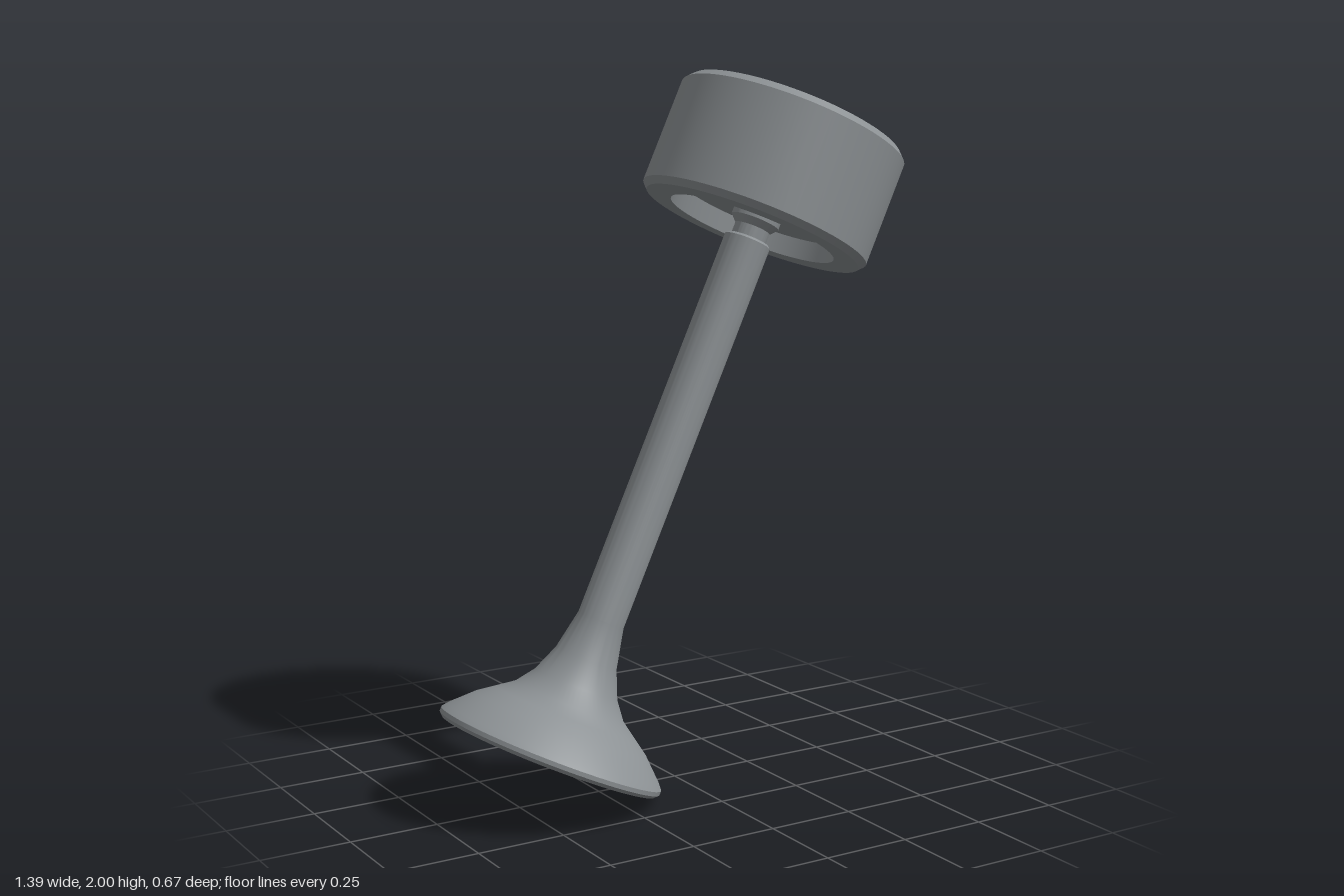
import * as THREE from 'three';
import { toCreasedNormals } from 'three/addons/utils/BufferGeometryUtils.js';

export function createModel() {
  const steel = new THREE.MeshStandardMaterial({ color: 0x8c9194 });
  steel.name = 'steel grey';

  // Turned part from [radius, height] pairs, bottom axis to top axis
  const turned = (name, profile) => {
    const points = profile.map(([r, h]) => new THREE.Vector2(r, h));
    const geometry = toCreasedNormals(new THREE.LatheGeometry(points, 64), 0.55);
    const mesh = new THREE.Mesh(geometry, steel);
    mesh.name = name;
    return mesh;
  };

  // Poppet valve: dished head, flared neck, long stem and keeper groove
  const valve = turned('valve', [
    [0, 0.02], [0.285, 0.02], [0.295, 0], [0.315, 0],
    [0.325, 0.01], [0.325, 0.022], [0.312, 0.038],
    [0.252, 0.095], [0.205, 0.128], [0.16, 0.16], [0.122, 0.21],
    [0.09, 0.287], [0.067, 0.4],
    [0.067, 1.535], [0.06, 1.542], [0.051, 1.542],
    [0.051, 1.575], [0.07, 1.595], [0.07, 1.64], [0, 1.64],
  ]);

  // Bucket tappet: chamfered cylinder with a recess underneath
  const tappet = turned('tappet', [
    [0, 1.63], [0.245, 1.63], [0.245, 1.572], [0.318, 1.572],
    [0.335, 1.59], [0.335, 1.892], [0.315, 1.913], [0, 1.913],
  ]);

  // Whole assembly leans towards +x
  const assembly = new THREE.Group();
  assembly.name = 'valveAssembly';
  assembly.add(valve, tappet);
  assembly.rotation.z = -THREE.MathUtils.degToRad(25);
  assembly.position.set(-0.409, 0.133, 0);

  const model = new THREE.Group();
  model.name = 'engineValve';
  model.add(assembly);
  return model;
}
